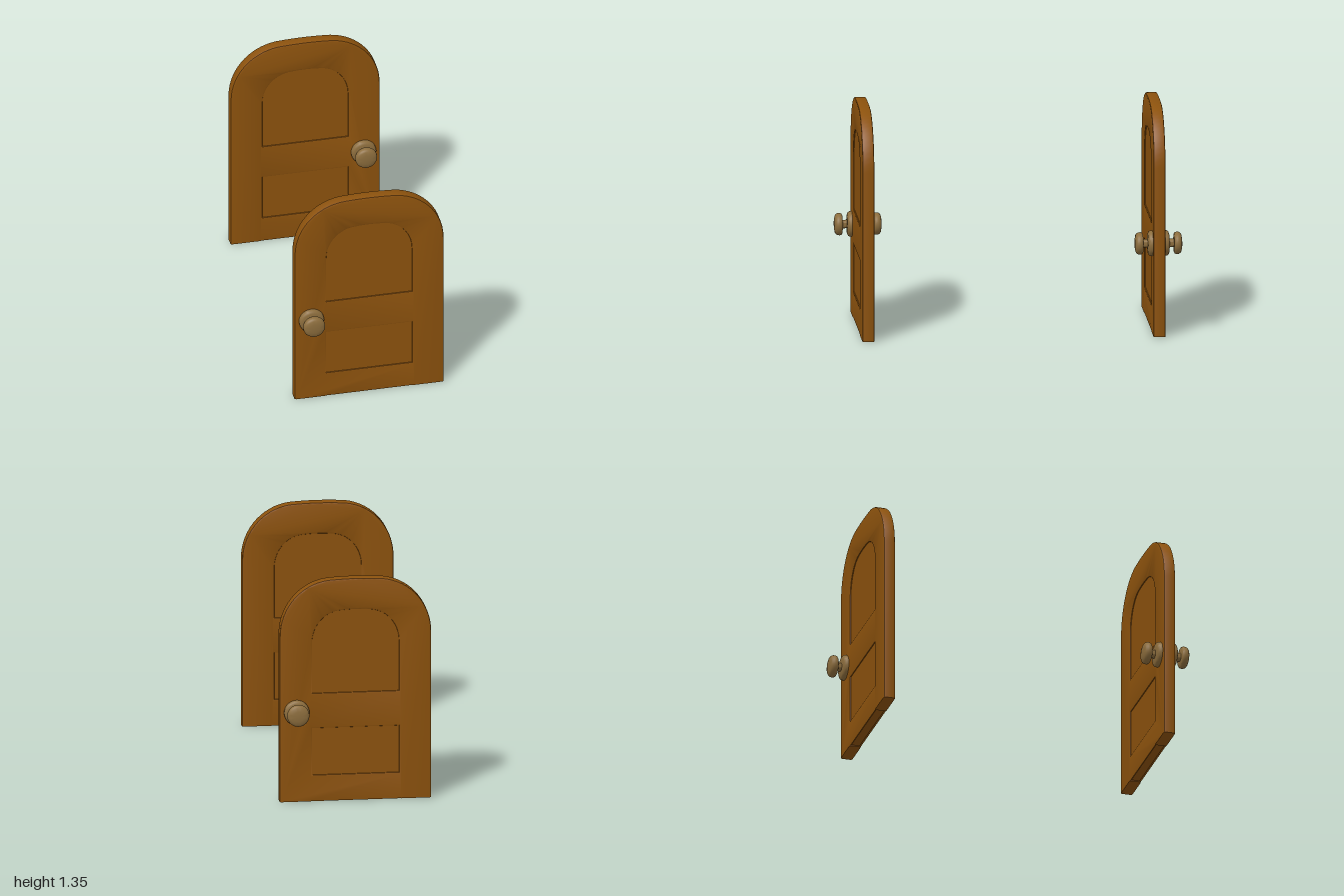
import * as THREE from 'three';
import { toCreasedNormals } from 'three/addons/utils/BufferGeometryUtils.js';

const wood = new THREE.MeshStandardMaterial({ color: 0x8c520d });
wood.name = 'brown wood';
const brass = new THREE.MeshStandardMaterial({ color: 0x8c6d3d });
brass.name = 'dull brass';

const BEVEL = 0.01;

// Adds a flattened round arch from the right springing point to the left one
function archOver(path, halfWidth, spring, top, flat) {
  const k = 0.552, rx = halfWidth - flat, ry = top - spring;
  path.bezierCurveTo(halfWidth, spring + ry * k, flat + rx * k, top - 0.006, flat, top - 0.004);
  path.quadraticCurveTo(0, top + 0.004, -flat, top - 0.004);
  path.bezierCurveTo(-flat - rx * k, top - 0.006, -halfWidth, spring + ry * k, -halfWidth, spring);
}

function archPanel(grow = 0) {
  const w = 0.257 + grow, s = new THREE.Shape();
  s.moveTo(-w, 0.659 - grow);
  s.lineTo(w, 0.659 - grow);
  s.lineTo(w, 0.96);
  archOver(s, w, 0.96, 1.161 + grow, 0.08);
  return s;
}

function lowerPanel(grow = 0) {
  const w = 0.257 + grow, b = 0.161 - grow, t = 0.443 + grow;
  return new THREE.Shape([[-w, b], [w, b], [w, t], [-w, t]].map(p => new THREE.Vector2(...p)));
}

// Arched slab with a shallow notch underneath and two bevelled openings
function frameGeometry() {
  const s = new THREE.Shape();
  s.moveTo(-0.45, 0);
  s.lineTo(-0.26, 0);
  s.lineTo(-0.26, 0.006);
  s.lineTo(0.26, 0.006);
  s.lineTo(0.26, 0);
  s.lineTo(0.45, 0);
  s.lineTo(0.45, 1.01);
  archOver(s, 0.45, 1.01, 1.352, 0.13);
  s.holes.push(archPanel(), lowerPanel());
  const g = new THREE.ExtrudeGeometry(s, {
    depth: 0.05, bevelThickness: BEVEL, bevelSize: BEVEL, bevelOffset: -BEVEL,
    bevelSegments: 2, curveSegments: 16,
  });
  g.translate(0, 0, -0.025);
  // Keep the bottom edge square
  const p = g.attributes.position;
  for (let i = 0; i < p.count; i++) {
    const y = p.getY(i);
    if (y < 0.02) p.setY(i, Math.abs(p.getX(i)) > 0.2599 && y - 0.006 < BEVEL - 0.0001 && y < 0.0101 && Math.abs(y - 0.006) > 0.0001 ? 0 : 0.006);
  }
  return toCreasedNormals(g, 0.6);
}

function panelGeometry(shape) {
  const g = new THREE.ExtrudeGeometry(shape, { depth: 0.056, bevelEnabled: false, curveSegments: 16 });
  g.translate(0, 0, -0.028);
  return g;
}

// Rosette, stem and knob, mirrored to both faces of the door
function knobGeometry() {
  const half = [
    [0.075, 0.03], [0.075, 0.05], [0.069, 0.058], [0.057, 0.063], [0.025, 0.064],
    [0.025, 0.092], [0.056, 0.092], [0.063, 0.097], [0.066, 0.107],
    [0.065, 0.119], [0.060, 0.129], [0.050, 0.135], [0.030, 0.139], [0, 0.14],
  ];
  const all = [...half].reverse().map(([r, h]) => [r, -h]).concat(half);
  const g = new THREE.LatheGeometry(all.map(p => new THREE.Vector2(...p)), 32);
  g.rotateX(Math.PI / 2);
  return toCreasedNormals(g, 0.75);
}

function makeDoor(name) {
  const door = new THREE.Group();
  door.name = name;
  const add = (part, geometry, material) => {
    const m = new THREE.Mesh(geometry, material);
    m.name = part;
    door.add(m);
    return m;
  };
  add('doorFrame', frameGeometry(), wood);
  add('upperPanel', panelGeometry(archPanel(0.002)), wood);
  add('lowerPanel', panelGeometry(lowerPanel(0.002)), wood);
  add('doorKnobs', knobGeometry(), brass).position.set(-0.35, 0.545, 0);
  return door;
}

export function createModel() {
  const model = new THREE.Group();
  model.name = 'pairOfDoors';
  const front = makeDoor('frontDoor');
  front.position.z = 0.86;
  // The second door is turned to face the other way
  const back = makeDoor('backDoor');
  back.position.z = -0.86;
  back.rotation.y = Math.PI;
  model.add(front, back);
  return model;
}
